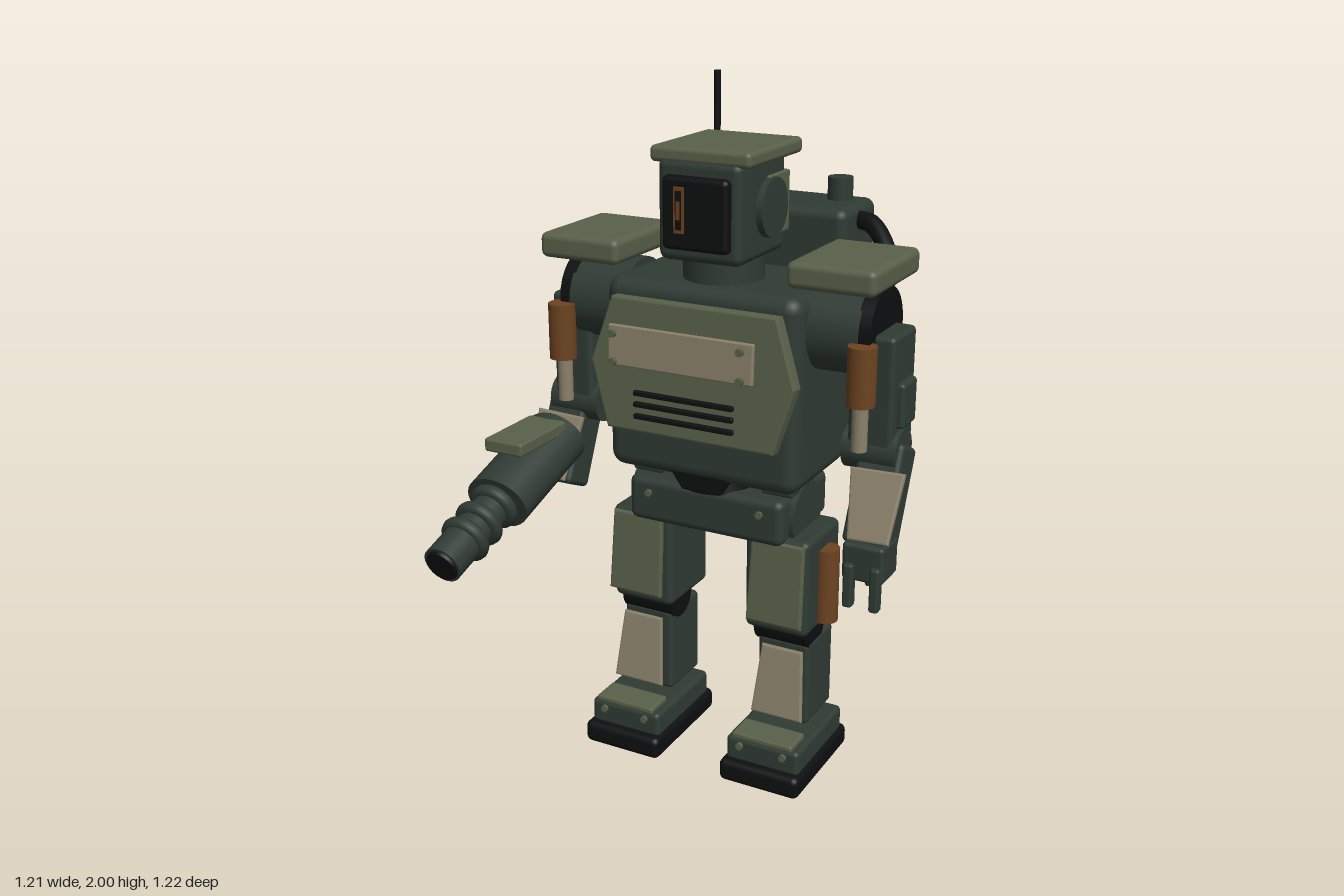
import * as THREE from 'three';
import { RoundedBoxGeometry } from 'three/addons/geometries/RoundedBoxGeometry.js';

const paint = (name, color) => {
  const m = new THREE.MeshStandardMaterial({ color });
  m.name = name;
  return m;
};

export function createModel() {
  const dark = paint('dark green', 0x303b34);
  const olive = paint('olive armour', 0x596049);
  const tan = paint('tan plate', 0x8b816b);
  const black = paint('black rubber', 0x0e0f10);
  const rust = paint('rust orange', 0x6c4320);

  const model = new THREE.Group();
  model.name = 'robot';
  const body = new THREE.Group();
  body.name = 'body';
  body.position.x = 0.008;
  model.add(body);

  const add = (parent, name, geo, mat, x, y, z, tilt = 0) => {
    const m = new THREE.Mesh(geo, mat);
    m.name = name;
    m.position.set(x, y, z);
    m.rotation.x = tilt;
    parent.add(m);
    return m;
  };
  const box = (p, name, mat, w, h, d, x, y, z, r = 0.012, tilt = 0) =>
    add(p, name, r ? new RoundedBoxGeometry(w, h, d, 3, r) : new THREE.BoxGeometry(w, h, d), mat, x, y, z, tilt);
  // cylinder of length h along the given axis
  const cyl = (p, name, mat, r, h, axis, x, y, z, r2 = r, sides = 28) => {
    const g = new THREE.CylinderGeometry(r, r2, h, sides);
    if (axis === 'x') g.rotateZ(-Math.PI / 2);
    if (axis === 'z') g.rotateX(Math.PI / 2);
    return add(p, name, g, mat, x, y, z);
  };
  // flat plate from an outline in x and y
  const plate = (p, name, mat, pts, t, x, y, z, tilt) => {
    const shape = new THREE.Shape(pts.map(([a, b]) => new THREE.Vector2(a, b)));
    const b = Math.min(0.006, t / 3);
    const g = new THREE.ExtrudeGeometry(shape, { depth: t - 2 * b, bevelSize: b, bevelThickness: b, bevelOffset: -b, bevelSegments: 2 });
    g.translate(0, 0, b - t / 2);
    return add(p, name, g, mat, x, y, z, tilt);
  };
  const trapezoid = (top, bottom, h) =>
    [[-bottom / 2, -h / 2], [bottom / 2, -h / 2], [top / 2, h / 2], [-top / 2, h / 2]];

  // legs
  for (const s of [-1, 1]) {
    const leg = new THREE.Group();
    leg.name = s > 0 ? 'leftLeg' : 'rightLeg';
    body.add(leg);
    box(leg, 'sole', black, 0.258, 0.07, 0.376, s * 0.233, 0.035, -0.058, 0.02);
    box(leg, 'foot', dark, 0.235, 0.08, 0.325, s * 0.233, 0.1, -0.0625, 0.015);
    box(leg, 'toePlate', olive, 0.195, 0.022, 0.095, s * 0.233, 0.148, 0.055, 0.008);
    for (const b of [-0.07, 0.07]) cyl(leg, 'footBolt', olive, 0.011, 0.014, 'z', s * 0.233 + b, 0.118, 0.103, 0.011, 12);
    box(leg, 'shin', dark, 0.165, 0.27, 0.18, s * 0.23, 0.285, -0.135, 0.015);
    plate(leg, 'shinPlate', tan, trapezoid(0.13, 0.165, 0.215), 0.016, s * 0.236, 0.295, -0.012, -0.165);
    cyl(leg, 'knee', black, 0.065, 0.17, 'x', s * 0.225, 0.455, -0.095);
    box(leg, 'thigh', dark, 0.2, 0.3, 0.235, s * 0.222, 0.61, -0.118, 0.02);
    plate(leg, 'thighPlate', olive, trapezoid(0.165, 0.175, 0.25), 0.02, s * 0.23, 0.625, 0.012, -0.1);
    cyl(leg, 'thighCanister', rust, 0.037, 0.23, 'y', s * 0.332, 0.595, -0.117);
    cyl(leg, 'hipJoint', dark, 0.1, 0.1, 'x', s * 0.215, 0.8, -0.12);
    box(leg, 'hipMount', dark, 0.1, 0.06, 0.16, s * 0.21, 0.91, -0.1, 0.01);
  }

  // pelvis and waist
  box(body, 'pelvis', dark, 0.5, 0.14, 0.325, 0, 0.81, -0.137, 0.025);
  for (const s of [-1, 1]) cyl(body, 'pelvisBolt', olive, 0.011, 0.012, 'z', s * 0.18, 0.835, 0.028, 0.011, 12);
  cyl(body, 'waist', black, 0.1, 0.1, 'y', 0, 0.92, -0.08, 0.12);
  plate(body, 'waistGuard', black, [[-0.06, -0.04], [0.06, -0.04], [0.095, 0.01], [0.03, 0.05], [-0.03, 0.05], [-0.095, 0.01]], 0.03, 0, 0.915, 0.03, 0);

  // torso and chest armour
  box(body, 'torso', dark, 0.604, 0.57, 0.375, 0, 1.195, -0.133, 0.045);
  plate(body, 'chestPlate', olive, [[-0.26, -0.19], [0.26, -0.19], [0.317, 0], [0.255, 0.19], [-0.255, 0.19], [-0.317, 0]], 0.045, 0, 1.245, 0.083, -0.07);
  box(body, 'chestPanel', tan, 0.445, 0.115, 0.015, 0, 1.32, 0.16, 0.005, -0.05);
  for (const x of [-0.195, 0.195]) for (const y of [1.28, 1.36])
    cyl(body, 'panelBolt', olive, 0.011, 0.014, 'z', x, y, 0.19, 0.011, 12);
  for (const y of [1.115, 1.15, 1.183]) box(body, 'chestVent', black, 0.31, 0.015, 0.015, 0, y, 0.145, 0.004);

  // head
  cyl(body, 'neck', dark, 0.115, 0.1, 'y', 0, 1.51, -0.1);
  box(body, 'head', dark, 0.255, 0.28, 0.285, 0, 1.685, -0.088, 0.025);
  box(body, 'headCap', olive, 0.305, 0.045, 0.335, 0, 1.832, -0.117, 0.015);
  box(body, 'visor', black, 0.2, 0.2, 0.05, 0, 1.682, 0.055, 0.015);
  box(body, 'eyeFrame', rust, 0.03, 0.125, 0.008, -0.043, 1.693, 0.082, 0);
  box(body, 'eyeSlit', black, 0.018, 0.105, 0.008, -0.043, 1.693, 0.084, 0);
  box(body, 'eye', rust, 0.012, 0.05, 0.008, -0.043, 1.693, 0.086, 0);
  for (const s of [-1, 1]) {
    box(body, 'earMount', olive, 0.02, 0.17, 0.13, s * 0.127, 1.685, -0.168, 0.005);
    cyl(body, 'ear', dark, 0.083, 0.04, 'x', s * 0.127, 1.683, -0.118);
  }

  // backpack
  box(body, 'backpack', dark, 0.544, 0.75, 0.24, 0, 1.275, -0.435, 0.03);
  box(body, 'backPlate', olive, 0.445, 0.62, 0.022, 0, 1.27, -0.575, 0.006);
  for (const s of [-1, 1]) box(body, 'backRail', tan, 0.026, 0.63, 0.026, s * 0.222, 1.27, -0.592, 0.006);
  for (const y of [1.135, 1.188, 1.241, 1.294]) box(body, 'backVent', black, 0.275, 0.018, 0.014, 0, y, -0.605, 0.004);
  cyl(body, 'antennaBase', rust, 0.023, 0.04, 'y', -0.198, 1.665, -0.438);
  cyl(body, 'antenna', black, 0.01, 0.35, 'y', -0.198, 1.825, -0.438, 0.01, 12);
  cyl(body, 'exhaust', dark, 0.037, 0.075, 'y', 0.188, 1.678, -0.473);
  const hosePath = new THREE.CatmullRomCurve3([[0.25, 1.605, -0.43], [0.31, 1.6, -0.415], [0.375, 1.55, -0.365],
    [0.41, 1.48, -0.3], [0.415, 1.42, -0.2]].map(p => new THREE.Vector3(...p)));
  add(body, 'hose', new THREE.TubeGeometry(hosePath, 24, 0.027, 12), black, 0, 0, 0);

  // arms
  for (const s of [-1, 1]) {
    const arm = new THREE.Group();
    arm.name = s > 0 ? 'leftArm' : 'rightArm';
    body.add(arm);
    cyl(arm, 'shoulder', dark, 0.125, 0.18, 'x', s * 0.36, 1.375, -0.12);
    cyl(arm, 'shoulderRing', black, 0.122, 0.04, 'x', s * 0.463, 1.38, -0.12);
    box(arm, 'shoulderPad', olive, 0.256, 0.073, 0.335, s * 0.386, 1.545, -0.113, 0.02);
    box(arm, 'upperArm', dark, 0.13, 0.325, 0.165, s * 0.475, 1.222, -0.123, 0.015);
    box(arm, 'armGuard', dark, 0.06, 0.13, 0.1, s * 0.53, 1.185, -0.125, 0.012);
    cyl(arm, 'pistonSleeve', rust, 0.04, 0.165, 'y', s * 0.47, 1.288, 0.015);
    cyl(arm, 'pistonRod', tan, 0.022, 0.14, 'y', s * 0.468, 1.145, 0.01);
    cyl(arm, 'elbow', dark, 0.065, 0.16, 'x', s * 0.475, 1.05, -0.1);
    box(arm, 'forearm', dark, 0.13, 0.29, 0.115, s * 0.505, 0.93, -0.06, 0.015, -0.43);
    const p = plate(arm, 'forearmPlate', tan, trapezoid(0.16, 0.12, 0.2), 0.018, s * 0.515, 0.92, 0.008, -0.38);
    p.rotation.z = s * 0.03;
  }

  // left hand
  box(body, 'hand', dark, 0.122, 0.11, 0.115, 0.514, 0.772, 0.015, 0.012);
  for (const x of [0.478, 0.556]) box(body, 'finger', dark, 0.028, 0.13, 0.034, x, 0.705, 0.072, 0.008);
  box(body, 'thumb', dark, 0.03, 0.06, 0.03, 0.515, 0.71, 0.0, 0.008);

  // right arm cannon, built along its own z axis
  const cannon = new THREE.Group();
  cannon.name = 'cannon';
  cannon.position.set(-0.514, 0.95, 0);
  cannon.rotation.x = 0.32;
  body.add(cannon);
  cyl(cannon, 'cannonHousing', dark, 0.1, 0.33, 'z', 0, 0, 0.17).scale.y = 0.85;
  cyl(cannon, 'barrel', dark, 0.055, 0.3, 'z', 0, 0, 0.46);
  for (const z of [0.352, 0.43, 0.5]) {
    add(cannon, 'barrelRing', new THREE.TorusGeometry(0.055, 0.02, 12, 32), dark, 0, 0, z);
  }
  cyl(cannon, 'muzzle', dark, 0.058, 0.1, 'z', 0, 0, 0.565);
  cyl(cannon, 'bore', black, 0.046, 0.012, 'z', 0, 0, 0.617, 0.052);
  box(body, 'cannonPlate', olive, 0.128, 0.04, 0.235, -0.512, 1.0, 0.165, 0.008);

  return model;
}
